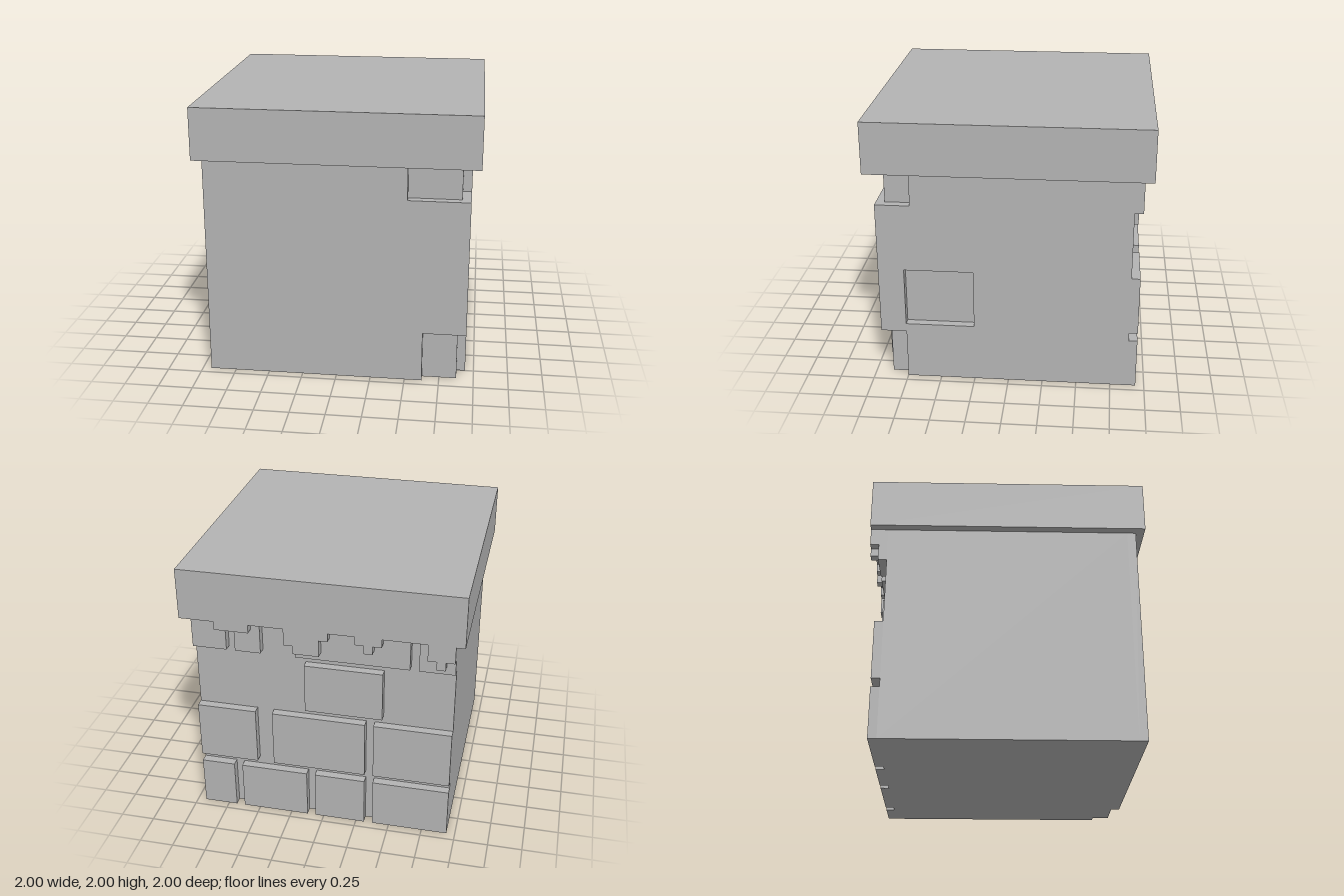
import * as THREE from 'three';

// The model sits on a grid of 32 cells per side; one cell is 1/16 unit.
const CELL = 1 / 16;

export function createModel() {
  const model = new THREE.Group();
  const stone = new THREE.MeshStandardMaterial({ color: 0xb3b3b3 });
  stone.name = 'stone grey';

  const add = (name, geometry) => {
    geometry.scale(CELL, CELL, CELL);
    const mesh = new THREE.Mesh(geometry, stone);
    mesh.name = name;
    model.add(mesh);
  };

  // Box given by its limits in cells
  const box = (name, x0, x1, y0, y1, z0, z1) => add(name,
    new THREE.BoxGeometry(x1 - x0, y1 - y0, z1 - z0)
      .translate((x0 + x1) / 2, (y0 + y1) / 2, (z0 + z1) / 2));

  const outline = (points) => new THREE.Shape(points.map(([a, b]) => new THREE.Vector2(a, b)));
  const plate = (shape) => new THREE.ExtrudeGeometry(shape, { depth: 1, bevelEnabled: false });

  // Main block and overhanging top slab
  box('core', -15, 14, 0, 26, -14, 14);
  box('topSlab', -16, 16, 26, 32, -16, 16);

  // Front facing, notched at its upper and lower corner
  add('frontFacing', plate(outline([
    [-15, 0], [10, 0], [10, 6], [14, 6], [14, 22], [8, 22], [8, 26], [-15, 26],
  ])).translate(0, 0, 14));

  // Side facing with matching notches and a missing stone
  const side = outline([
    [-14, 0], [12, 0], [12, 6], [15, 6], [15, 22], [11, 22], [11, 26], [-14, 26],
  ]);
  side.holes.push(outline([[4, 7], [4, 14], [12, 14], [12, 7]]));
  add('sideFacing', plate(side).rotateY(-Math.PI / 2).translate(15, 0, 0));

  // Raised bricks on the back: rows of [start, end] counted from the left edge
  const rows = [
    { y: [0, 6], bricks: [[0, 4], [5, 13], [14, 20], [21, 30]] },
    { y: [7, 14], bricks: [[0, 7], [9, 20], [21, 30]] },
    { y: [15, 21], bricks: [[13, 22]] },
    { y: [22, 26], bricks: [[0, 4], [5, 8], [12, 25], [26, 30]] },
  ];
  rows.forEach(({ y, bricks }) => bricks.forEach(([a, b]) =>
    box('backBrick', 15 - b, 15 - a, y[0], y[1], -15, -14)));

  // Ragged fringe under the back of the slab: [start, end, drop]
  const fringe = [
    [4, 8, 1], [12, 13, 2], [13, 16, 3], [16, 17, 1], [20, 21, 1], [21, 22, 2],
    [22, 23, 1], [28, 29, 2], [29, 30, 3], [30, 31, 2],
  ];
  fringe.forEach(([a, b, drop]) =>
    box('slabFringe', 16 - b, 16 - a, 26 - drop, 26, -16, -15));

  return model;
}
